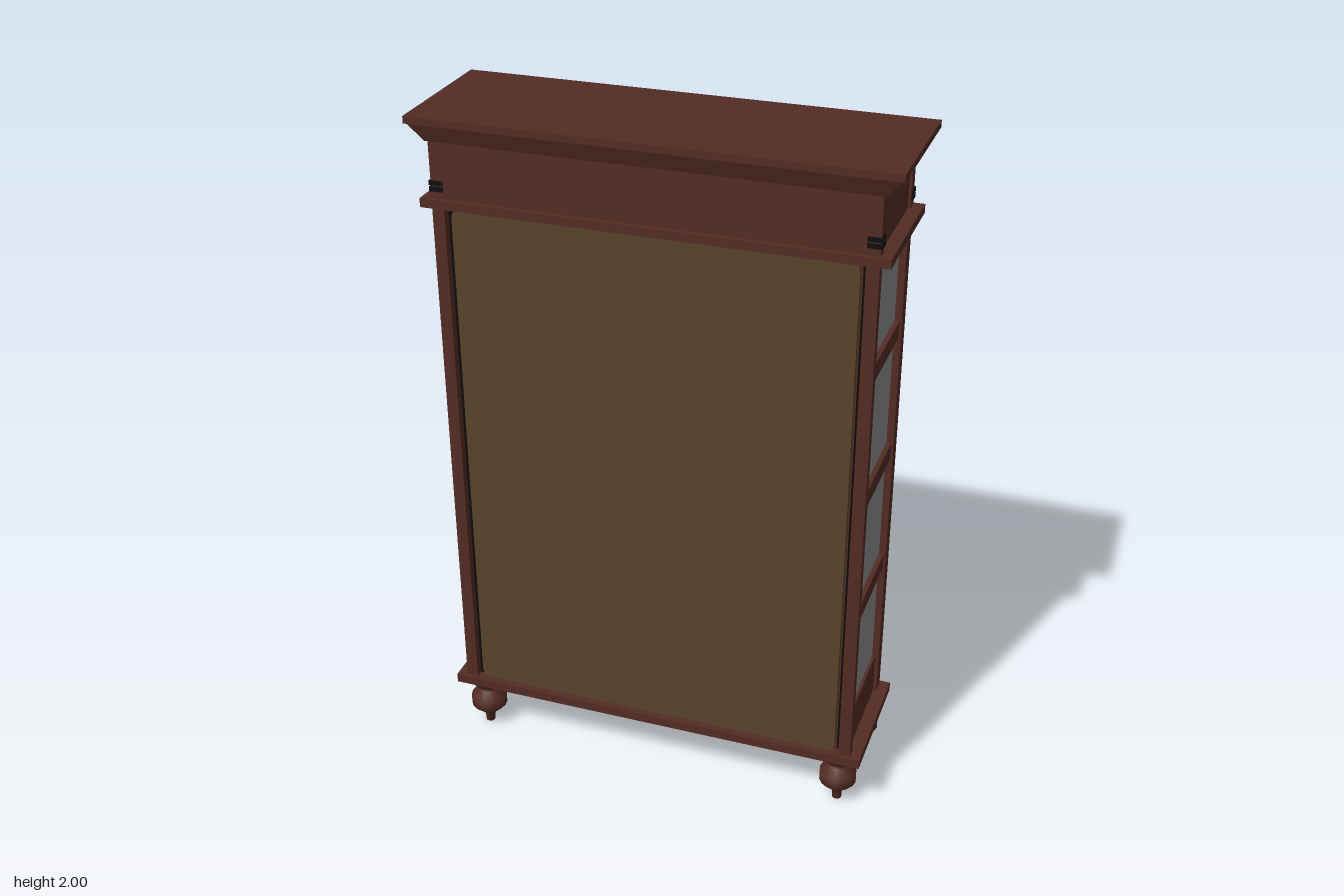
import * as THREE from 'three';

const mat = (name, color, side = THREE.FrontSide) => {
  const m = new THREE.MeshStandardMaterial({ color, side });
  m.name = name;
  return m;
};

export function createModel() {
  const wood = mat('mahogany', 0x542c24);
  const glass = mat('greyGlass', 0x8c8c8c);
  const board = mat('oliveBackBoard', 0x57432b);
  const black = mat('blackIron', 0x0d0d0d);

  const root = new THREE.Group();
  root.name = 'displayCabinet';
  const body = new THREE.Group();
  body.name = 'cabinet';
  body.rotation.set(0.009, -0.008, 0); // the cabinet leans and turns a touch
  root.add(body);

  const add = (name, geo, material, parent = body) => {
    const m = new THREE.Mesh(geo, material);
    m.name = name;
    parent.add(m);
    return m;
  };
  // box given by its limits on each axis
  const box = (name, x0, x1, y0, y1, z0, z1, material = wood, parent = body) => {
    const m = add(name, new THREE.BoxGeometry(Math.abs(x1 - x0), y1 - y0, z1 - z0), material, parent);
    m.position.set((x0 + x1) / 2, (y0 + y1) / 2, (z0 + z1) / 2);
    return m;
  };
  const lathe = (pts, n) => new THREE.LatheGeometry(pts.map(p => new THREE.Vector2(...p)), n);

  // turned feet
  const footGeo = lathe([[0, 0], [0.014, 0], [0.016, 0.045], [0.034, 0.047], [0.055, 0.068], [0.055, 0.1],
    [0.03, 0.125], [0.028, 0.135], [0.048, 0.15], [0.053, 0.175]], 16);
  for (const sx of [-1, 1]) for (const sz of [-1, 1]) {
    add('foot', footGeo, wood).position.set(sx * 0.566, 0, sz * 0.135);
  }

  // base slab and middle moulding
  box('baseSlab', -0.64, 0.64, 0.172, 0.2, -0.198, 0.198);
  box('middleMoulding', -0.64, 0.64, 1.745, 1.77, -0.197, 0.197);

  // corner posts with iron clips
  for (const sx of [-1, 1]) {
    box('rearPost', sx * 0.575, sx * 0.61, 0.2, 1.745, 0.158, 0.186);
    box('doorPost', sx * 0.572, sx * 0.61, 0.2, 1.745, -0.184, -0.142);
    for (const sz of [-1, 1]) {
      box('upperPost', sx * 0.57, sx * 0.61, 1.77, 1.93, Math.min(sz * 0.15, sz * 0.184), Math.max(sz * 0.15, sz * 0.184));
      for (const y of [1.79, 1.807]) {
        box('cornerClip', sx * 0.575, sx * 0.614, y, y + 0.013,
          Math.min(sz * 0.152, sz * 0.188), Math.max(sz * 0.152, sz * 0.188), black);
      }
    }
  }

  // frieze, set back a little on the door side and the ends
  box('frieze', -0.603, 0.603, 1.77, 1.93, -0.177, 0.183);

  // cornice: flared moulding under a flat top
  const flare = new THREE.BoxGeometry(2, 0.05, 2).toNonIndexed();
  const p = flare.attributes.position;
  for (let i = 0; i < p.count; i++) {
    const top = p.getY(i) > 0;
    p.setX(i, p.getX(i) * (top ? 0.658 : 0.618));
    p.setZ(i, p.getZ(i) * (top ? 0.205 : 0.186));
  }
  flare.computeVertexNormals();
  add('corniceFlare', flare, wood).position.y = 1.953;
  box('corniceTop', -0.664, 0.664, 1.978, 1.998, -0.21, 0.21);

  // rear board with rounded corners, dark gaps beside it, wood behind the corners
  const w = 0.56, b = 0.2, t = 1.742, r = 0.03;
  const s = new THREE.Shape();
  s.moveTo(-w + r, b);
  s.lineTo(w - r, b); s.quadraticCurveTo(w, b, w, b + r);
  s.lineTo(w, t - r); s.quadraticCurveTo(w, t, w - r, t);
  s.lineTo(-w + r, t); s.quadraticCurveTo(-w, t, -w, t - r);
  s.lineTo(-w, b + r); s.quadraticCurveTo(-w, b, -w + r, b);
  add('rearBoard', new THREE.ExtrudeGeometry(s, { depth: 0.015, bevelEnabled: false }), board).position.z = 0.162;
  box('rearBacking', -0.565, 0.565, 0.2, 1.745, 0.145, 0.16);
  for (const sx of [-1, 1]) box('rearGap', sx * 0.564, sx * 0.576, 0.2, 1.745, 0.145, 0.162, black);

  // rails shared by the ends and the doors
  const rails = [[0.65, 0.7], [1.02, 1.07], [1.4, 1.45]];

  // glazed ends
  for (const sx of [-1, 1]) {
    const end = new THREE.Group();
    end.name = 'cabinetEnd';
    body.add(end);
    box('endGlass', sx * 0.582, sx * 0.59, 0.32, 1.745, -0.145, 0.16, glass, end);
    box('endLowerPanel', sx * 0.58, sx * 0.599, 0.2, 0.33, -0.145, 0.16, wood, end);
    for (const [y0, y1] of rails) box('endRail', sx * 0.58, sx * 0.604, y0, y1, -0.143, 0.159, wood, end);
  }

  // panel beneath the doors
  box('lowerDoorSidePanel', -0.573, 0.573, 0.2, 0.328, -0.172, -0.145);

  // pair of glazed doors with knobs
  const knobGeo = lathe([[0.018, 0], [0.012, 0.008], [0.012, 0.022], [0.033, 0.034], [0.033, 0.042], [0.018, 0.051], [0, 0.052]], 16);
  for (const sx of [-1, 1]) {
    const door = new THREE.Group();
    door.name = 'door';
    body.add(door);
    const bar = (name, x0, x1, y0, y1) => box(name, sx * x0, sx * x1, y0, y1, -0.18, -0.15, wood, door);
    bar('innerStile', 0.004, 0.1, 0.333, 1.742);
    bar('outerStile', 0.506, 0.569, 0.333, 1.742);
    bar('bottomRail', 0.1, 0.506, 0.333, 0.4);
    bar('topRail', 0.1, 0.506, 1.7, 1.742);
    for (const [y0, y1] of rails) bar('doorRail', 0.1, 0.506, y0, y1);
    box('doorGlass', sx * 0.095, sx * 0.511, 0.39, 1.71, -0.17, -0.162, glass, door);
    const knob = add('doorKnob', knobGeo, wood, door);
    knob.rotation.x = -Math.PI / 2;
    knob.position.set(sx * 0.067, 1.03, -0.18);
  }
  // cover strip where the doors meet
  box('meetingStrip', -0.03, 0.03, 0.333, 1.742, -0.188, -0.15);

  return root;
}
